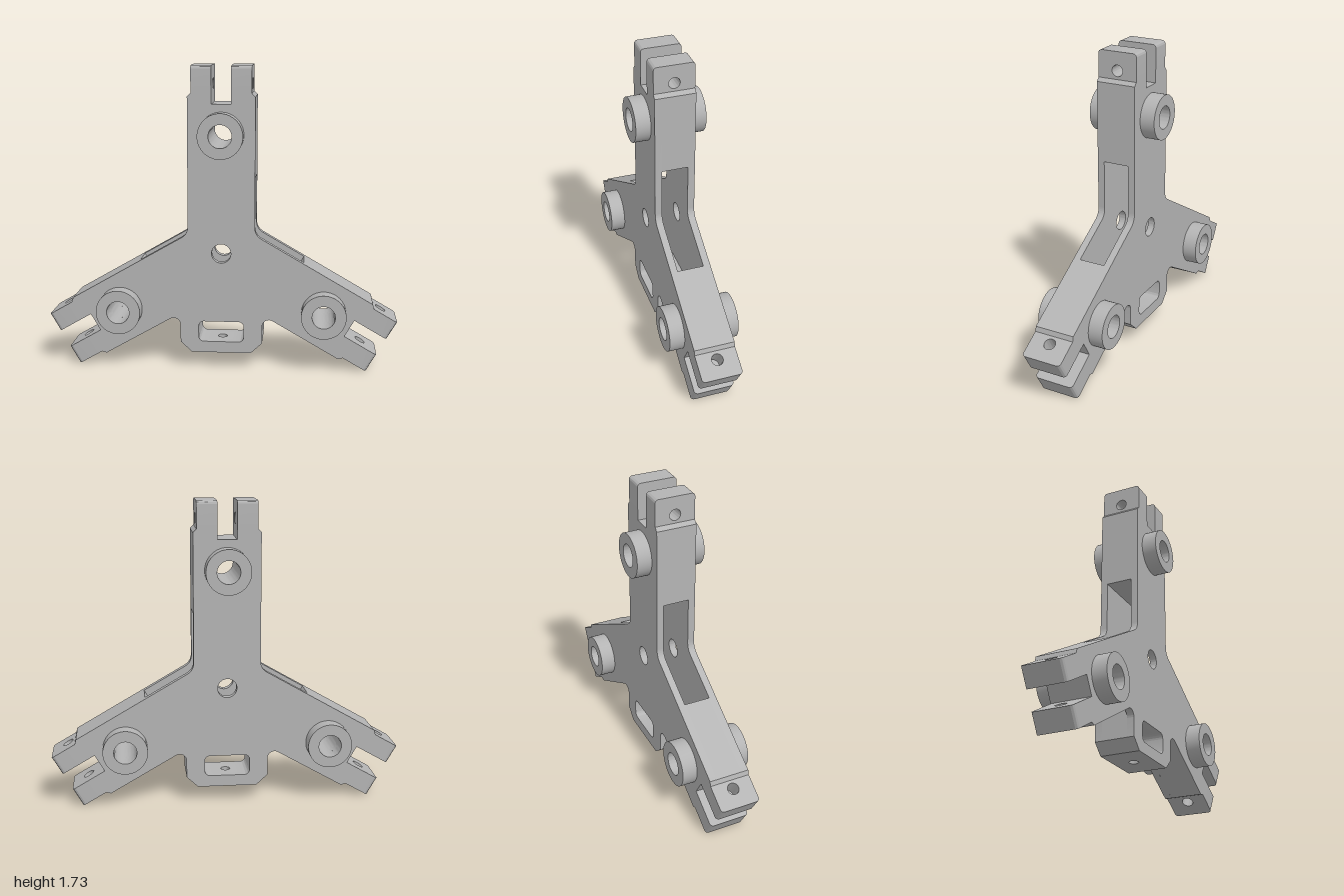
import * as THREE from 'three';
import { toCreasedNormals } from 'three/addons/utils/BufferGeometryUtils.js';

const HUB_Y = 0.676;          // height of the hub centre
const HALF = 0.115;           // half thickness of the body
const CORE = 0.075;           // half thickness of the hollow core
const W = 0.19;               // half width of an arm
const THIRD = Math.PI * 2 / 3;
const BOSS_U = 0.675;         // distance of each boss from the hub

// Arm coordinates (s across, u outwards) to hub coordinates for arm k
const onArm = (k, s, u) => new THREE.Vector2(s, u).rotateAround(new THREE.Vector2(), k * THIRD);

const circle = (x, y, r) => new THREE.Path().absarc(x, y, r, 0, Math.PI * 2, true);

const poly = (pts) => new THREE.Shape(pts.map(([x, y]) => new THREE.Vector2(x, y)));

function extrude(shape, from, to) {
  const g = new THREE.ExtrudeGeometry(shape, { depth: to - from, bevelEnabled: false, curveSegments: 28 });
  g.translate(0, 0, from);
  return toCreasedNormals(g, 0.5);
}

// Arm end: chamfered shoulders and the fork notch
const armEnd = [
  [W, 0.885], [0.17, 0.905], [0.055, 0.905], [0.055, 0.845],
  [-0.055, 0.845], [-0.055, 0.905], [-0.17, 0.905], [-W, 0.885],
];

// Rounded slot through the bottom block
function slotPath() {
  const x = 0.13, y0 = -0.521, y1 = -0.401, r = 0.03, p = new THREE.Path();
  p.absarc(x - r, y1 - r, r, 0, Math.PI / 2);
  p.absarc(-x + r, y1 - r, r, Math.PI / 2, Math.PI);
  p.absarc(-x + r, y0 + r, r, Math.PI, Math.PI * 1.5);
  p.absarc(x - r, y0 + r, r, Math.PI * 1.5, Math.PI * 2);
  p.closePath();
  return p;
}

// Full three-armed outline with the bottom block
function plateShape() {
  const s = new THREE.Shape();
  const line = (v) => s.lineTo(v.x, v.y);
  const cornerU = W / Math.sqrt(3), filletU = cornerU + 0.045;
  const fillet = (k) => {
    const c = onArm(k, -W, cornerU), e = onArm(k + 1, W, filletU);
    line(onArm(k, -W, filletU));
    s.quadraticCurveTo(c.x, c.y, e.x, e.y);
  };
  const arm = (k) => armEnd.forEach(([a, u]) => line(onArm(k, a, u)));
  s.moveTo(W, filletU);
  arm(0);
  fillet(0);
  arm(1);
  s.absarc(-0.275, -0.425, 0.04, THIRD, 0, true);
  [[-0.235, -0.526], [-0.17, -0.586], [0.17, -0.586], [0.235, -0.526]].forEach(([x, y]) => s.lineTo(x, y));
  s.absarc(0.275, -0.425, 0.04, Math.PI, Math.PI / 3, true);
  arm(2);
  fillet(2);
  s.holes.push(circle(0, 0, 0.055), slotPath());
  for (let k = 0; k < 3; k++) {
    const c = onArm(k, 0, BOSS_U);
    s.holes.push(circle(c.x, c.y, 0.065));
  }
  return s;
}

// Fork prong: rounded tip and a cross hole, extruded across the arm
function prongGeometry(from, to) {
  const r = 0.02, tip = 1.058, s = new THREE.Shape();
  s.moveTo(-HALF, 0.905);
  s.lineTo(HALF, 0.905);
  s.absarc(HALF - r, tip - r, r, 0, Math.PI / 2);
  s.absarc(-HALF + r, tip - r, r, Math.PI / 2, Math.PI);
  s.closePath();
  s.holes.push(circle(0, 0.953, 0.032));
  return extrude(s, from, to).rotateY(Math.PI / 2);
}

export function createModel() {
  const grey = new THREE.MeshStandardMaterial({ color: 0xb4b4b4 });
  grey.name = 'grey metal';
  const root = new THREE.Group();
  root.name = 'threeArmBracket';
  const body = new THREE.Group();
  body.name = 'body';
  body.position.y = HUB_Y;
  root.add(body);
  const add = (parent, name, geometry) => {
    const m = new THREE.Mesh(geometry, grey);
    m.name = name;
    parent.add(m);
    return m;
  };

  // Front and back plates; the hub between them is hollow
  add(body, 'frontPlate', extrude(plateShape(), CORE, HALF));
  add(body, 'backPlate', extrude(plateShape(), -HALF, -CORE));

  // Arms: solid core, fork prongs and bosses
  const coreShape = poly([[-W, 0.43], [W, 0.43], ...armEnd]);
  coreShape.holes.push(circle(0, BOSS_U, 0.065));
  const core = extrude(coreShape, -CORE, CORE);
  const ring = new THREE.Shape().absarc(0, BOSS_U, 0.127, 0, Math.PI * 2);
  ring.holes.push(circle(0, BOSS_U, 0.065));
  const prongs = [prongGeometry(0.055, 0.17), prongGeometry(-0.17, -0.055)];
  const bosses = [extrude(ring, HALF, 0.2), extrude(ring, -0.2, -HALF)];
  ['topArm', 'rightArm', 'leftArm'].forEach((name, k) => {
    const arm = new THREE.Group();
    arm.name = name;
    arm.rotation.z = k * THIRD;
    body.add(arm);
    add(arm, 'armCore', core);
    add(arm, 'leftProng', prongs[0]);
    add(arm, 'rightProng', prongs[1]);
    add(arm, 'frontBoss', bosses[0]);
    add(arm, 'backBoss', bosses[1]);
  });

  // Bottom block core: two cheeks around the slot
  const cheek = poly([[0.06, -0.586], [0.17, -0.586], [0.235, -0.526], [0.235, -0.356], [0.06, -0.356], [0.06, -0.401]]);
  cheek.absarc(0.1, -0.431, 0.03, Math.PI / 2, 0, true);
  cheek.absarc(0.1, -0.491, 0.03, 0, -Math.PI / 2, true);
  cheek.lineTo(0.06, -0.521);
  const cheekGeometry = extrude(cheek, -CORE, CORE);
  add(body, 'leftBlockCheek', cheekGeometry);
  add(body, 'rightBlockCheek', cheekGeometry).rotation.y = Math.PI;

  // Slot floor and roof with a vertical hole
  const slab = poly([[-0.06, -CORE], [0.06, -CORE], [0.06, CORE], [-0.06, CORE]]);
  slab.holes.push(circle(0, 0, 0.027));
  add(body, 'slotFloor', extrude(slab, -0.586, -0.521).rotateX(-Math.PI / 2));
  add(body, 'slotRoof', extrude(slab, -0.401, -0.356).rotateX(-Math.PI / 2));

  return root;
}
